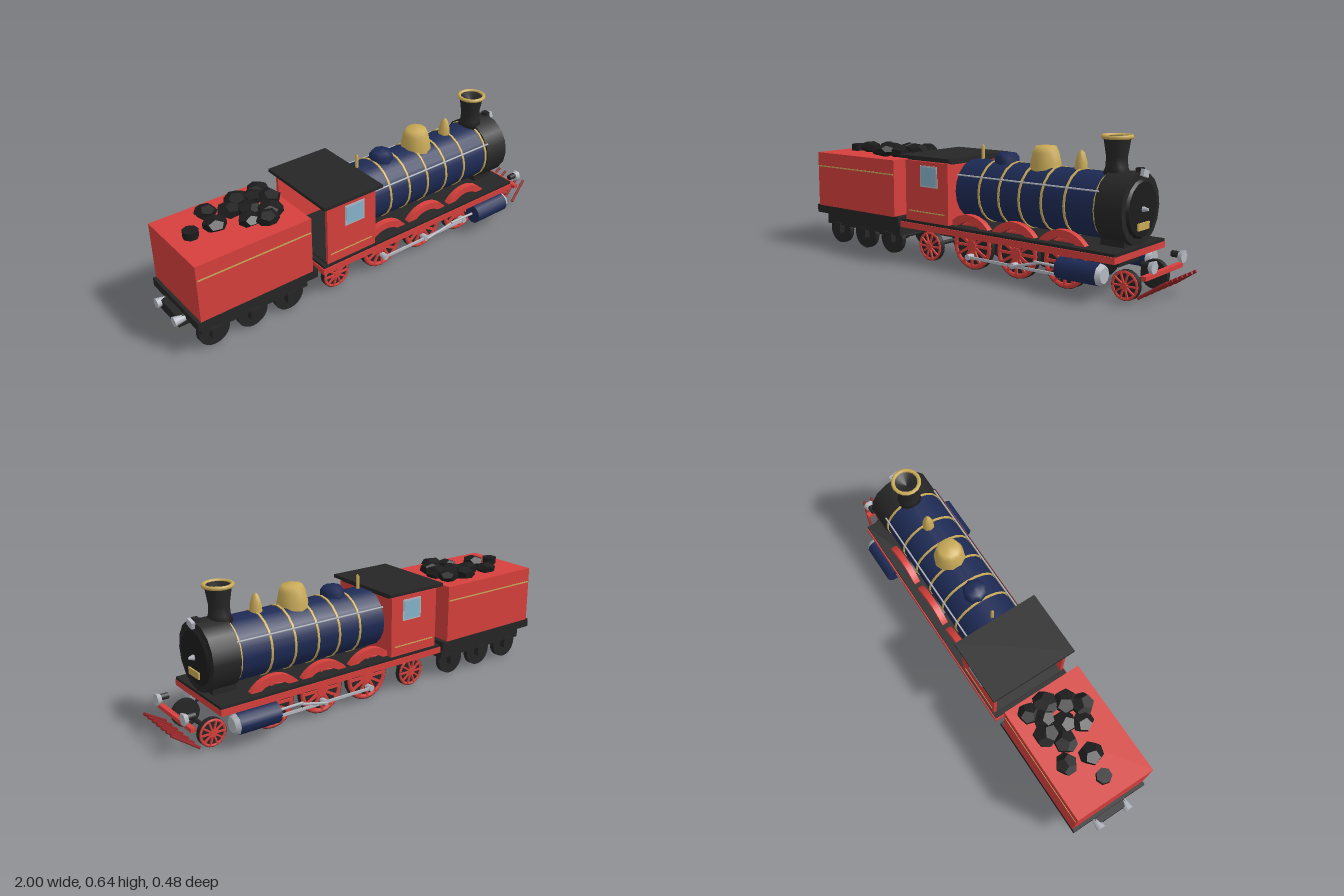
import * as THREE from 'three';

const mat = (name, color) => {
  const m = new THREE.MeshStandardMaterial({ color });
  m.name = name;
  return m;
};

export function createModel() {
  const red = mat('red paint', 0xd6403c), darkRed = mat('dark red', 0x962426);
  const navy = mat('navy paint', 0x1d2a55), black = mat('black iron', 0x262626);
  const soot = mat('coal black', 0x1c1c1c), gold = mat('brass', 0xc9aa58);
  const silver = mat('steel', 0xb4b8c0), glass = mat('window glass', 0x86b4cc);
  const root = new THREE.Group();
  root.name = 'steamLocomotive';

  const add = (name, geo, m, x = 0, y = 0, z = 0, parent = root) => {
    const mesh = new THREE.Mesh(geo, m);
    mesh.name = name;
    mesh.position.set(x, y, z);
    parent.add(mesh);
    return mesh;
  };
  // box given by its limits on each axis
  const box = (name, m, x0, x1, y0, y1, z0, z1) =>
    add(name, new THREE.BoxGeometry(x1 - x0, y1 - y0, z1 - z0), m, (x0 + x1) / 2, (y0 + y1) / 2, (z0 + z1) / 2);
  // cylinder lying along x, with a radius at each end
  const tubeX = (name, m, x0, x1, y, z, r0, r1 = r0, sides = 16) =>
    add(name, new THREE.CylinderGeometry(r1, r0, x1 - x0, sides).rotateZ(-Math.PI / 2), m, (x0 + x1) / 2, y, z);
  // upright turned part
  const lathe = (name, m, x, pts, sides = 14) => {
    const geo = new THREE.LatheGeometry(pts.map(p => new THREE.Vector2(...p)), sides);
    return add(name, geo, m, x);
  };
  // straight round bar between two points
  const bar = (name, m, a, b, r, sides = 6) => {
    const p = new THREE.Vector3(...a), q = new THREE.Vector3(...b);
    const mesh = add(name, new THREE.CylinderGeometry(r, r, p.distanceTo(q), sides), m);
    mesh.position.copy(p).lerp(q, 0.5);
    mesh.quaternion.setFromUnitVectors(new THREE.Vector3(0, 1, 0), q.sub(p).normalize());
  };
  const discZ = (r, depth, sides) => new THREE.CylinderGeometry(r, r, depth, sides).rotateX(Math.PI / 2);

  // black disc wheel, optionally with a red spoked face
  const wheel = (name, x, r, side, spokes) => {
    const g = new THREE.Group();
    g.name = name;
    g.position.set(x, r + 0.003, side * 0.115);
    if (side < 0) g.rotation.y = Math.PI;
    root.add(g);
    add('tyre', discZ(r, 0.024, 20), black, 0, 0, 0, g);
    add('axleEnd', discZ(r * 0.1, 0.034, 8), gold, 0, 0, 0, g);
    if (!spokes) {
      add('hub', discZ(r * 0.35, 0.034, 10), black, 0, 0, 0.002, g);
      return;
    }
    add('rim', new THREE.TorusGeometry(r * 0.88, r * 0.1, 6, 24).scale(1, 1, 0.8), red, 0, 0, 0.012, g);
    add('hub', discZ(r * 0.24, 0.014, 10), red, 0, 0, 0.016, g);
    for (let i = 0; i < spokes; i++) {
      const s = add('spoke', new THREE.BoxGeometry(r * 0.9, r * 0.11, 0.012).translate(r * 0.45, 0, 0), red, 0, 0, 0.014, g);
      s.rotation.z = i * Math.PI * 2 / spokes;
    }
  };

  // frames and running boards
  box('mainFrame', black, -0.34, 0.76, 0.12, 0.185, -0.08, 0.08);
  box('runningBoard', black, -0.34, 0.81, 0.188, 0.2, -0.195, 0.195);
  box('footplateEdge', red, -0.345, 0.81, 0.16, 0.188, -0.2, 0.2);
  box('drawbar', black, -0.98, -0.33, 0.125, 0.175, -0.08, 0.08);

  // boiler, bands and smokebox
  tubeX('boiler', navy, -0.06, 0.69, 0.35, 0, 0.138, 0.138, 20);
  for (const x of [0.08, 0.19, 0.3, 0.415, 0.53, 0.675]) tubeX('boilerBand', gold, x - 0.005, x + 0.005, 0.35, 0, 0.142, 0.142, 20);
  tubeX('smokebox', black, 0.68, 0.805, 0.35, 0, 0.15, 0.15, 16);
  tubeX('smokeboxDoor', soot, 0.805, 0.815, 0.35, 0, 0.121, 0.112, 16);
  tubeX('doorKnob', silver, 0.815, 0.838, 0.35, 0, 0.013, 0.006, 6);
  box('frontPlate', gold, 0.814, 0.822, 0.267, 0.297, -0.044, 0.044);
  box('smokeboxSaddle', black, 0.67, 0.78, 0.19, 0.24, -0.08, 0.08);
  box('lampBracket', black, 0.785, 0.81, 0.48, 0.515, -0.015, 0.015);
  const lamp = add('headLamp', new THREE.BoxGeometry(0.016, 0.028, 0.042), silver, 0.818, 0.494, 0);
  lamp.rotation.x = -0.3;

  // chimney, domes, valve and whistle
  lathe('chimney', black, 0.69, [[0, 0.47], [0.06, 0.47], [0.046, 0.51], [0.044, 0.55], [0.056, 0.625], [0.05, 0.632], [0, 0.6]]);
  const rim = add('chimneyRim', new THREE.TorusGeometry(0.059, 0.009, 8, 16), gold, 0.69, 0.631, 0);
  rim.rotation.x = Math.PI / 2;
  lathe('steamDome', gold, 0.34, [[0.073, 0.465], [0.069, 0.5], [0.059, 0.545], [0.045, 0.57], [0, 0.573]], 10);
  lathe('sandDome', navy, 0.13, [[0.055, 0.46], [0.055, 0.505], [0.04, 0.525], [0, 0.53]], 8);
  lathe('safetyValve', gold, 0.52, [[0.028, 0.475], [0.026, 0.515], [0.014, 0.555], [0, 0.567]], 8);
  lathe('whistle', gold, -0.01, [[0.008, 0.48], [0.008, 0.545], [0, 0.555]], 8);

  // cab with an open back
  box('cabFront', red, -0.07, -0.055, 0.2, 0.475, -0.19, 0.19);
  box('cabRoof', black, -0.34, -0.03, 0.487, 0.502, -0.208, 0.208);
  box('cabRoofLining', black, -0.32, -0.05, 0.473, 0.488, -0.17, 0.17);
  box('cabFloor', black, -0.32, -0.06, 0.198, 0.206, -0.18, 0.18);

  // tender
  box('tenderFrame', black, -0.95, -0.37, 0.16, 0.2, -0.19, 0.19);
  box('tenderUnderframe', black, -0.92, -0.4, 0.1, 0.16, -0.15, 0.15);
  box('tenderBody', red, -0.935, -0.395, 0.198, 0.467, -0.19, 0.19);
  const coal = [[-0.72, -0.1], [-0.74, 0.01], [-0.57, -0.1], [-0.46, -0.11], [-0.57, -0.01], [-0.46, -0.03],
    [-0.61, 0.06], [-0.55, 0.1], [-0.5, 0.05], [-0.51, -0.07], [-0.64, -0.05]];
  coal.forEach(([x, z], i) => {
    const geo = new THREE.DodecahedronGeometry(0.05 + (i % 3) * 0.004, 0).scale(1, 0.55, 1);
    add('coalLump', geo, soot, x, 0.486 + (i % 2) * 0.006, z).rotation.y = i * 1.3;
  });
  const cap = add('waterFiller', new THREE.CylinderGeometry(0.034, 0.034, 0.034, 7), soot, -0.845, 0.483, 0);
  cap.rotation.y = 0.4;

  // splasher arch profile
  const arch = new THREE.Shape();
  const a0 = Math.asin(0.085 / 0.145), a1 = Math.asin(0.085 / 0.112);
  arch.absarc(0, 0, 0.145, a0, Math.PI - a0, false);
  arch.absarc(0, 0, 0.112, Math.PI - a1, a1, true);
  const archGeo = new THREE.ExtrudeGeometry(arch, { depth: 0.03, bevelEnabled: false, curveSegments: 10 });

  for (const s of [1, -1]) {
    // slab on one side, from inner to outer z
    const side = (name, m, x0, x1, y0, y1, zi, zo) => box(name, m, x0, x1, y0, y1, Math.min(s * zi, s * zo), Math.max(s * zi, s * zo));
    side('cabSide', red, -0.315, -0.06, 0.2, 0.477, 0.175, 0.19);
    side('windowFrame', silver, -0.222, -0.118, 0.361, 0.459, 0.187, 0.193);
    side('cabWindow', glass, -0.215, -0.125, 0.368, 0.452, 0.189, 0.195);
    side('cabLining', gold, -0.3, -0.075, 0.242, 0.247, 0.189, 0.192);
    side('tenderLining', gold, -0.93, -0.4, 0.396, 0.402, 0.189, 0.192);
    for (const x of [0.035, 0.285, 0.535]) {
      wheel('driveWheel', x, 0.11, s, 12);
      add('splasher', archGeo, red, x, 0.11, s > 0 ? 0.13 : -0.16);
      add('crankPin', discZ(0.014, 0.035, 8), silver, x, 0.065, s * 0.148);
    }
    wheel('trailingWheel', -0.225, 0.07, s, 10);
    wheel('leadingWheel', 0.815, 0.062, s, 10);
    for (const x of [-0.85, -0.665, -0.48]) {
      wheel('tenderWheel', x, 0.073, s, 0);
      side('axleBox', black, x - 0.025, x + 0.025, 0.06, 0.11, 0.125, 0.155);
    }

    // cylinders and rods
    tubeX('steamCylinder', navy, 0.555, 0.745, 0.11, s * 0.195, 0.046, 0.046, 12);
    tubeX('cylinderCover', silver, 0.745, 0.765, 0.11, s * 0.195, 0.046, 0.034, 8);
    side('couplingRod', silver, 0.02, 0.55, 0.059, 0.071, 0.154, 0.162);
    bar('connectingRod', silver, [0.285, 0.065, s * 0.168], [0.45, 0.11, s * 0.185], 0.006);
    bar('pistonRod', silver, [0.42, 0.11, s * 0.187], [0.56, 0.11, s * 0.19], 0.006);
    bar('handrail', silver, [-0.05, 0.425, s * 0.132], [0.69, 0.425, s * 0.132], 0.004);

    // buffers
    tubeX('frontBufferStem', black, 0.885, 0.92, 0.16, s * 0.12, 0.014, 0.014, 8);
    tubeX('frontBuffer', silver, 0.92, 0.94, 0.155, s * 0.12, 0.022, 0.028, 6);
    tubeX('rearBuffer', silver, -1, -0.945, 0.16, s * 0.075, 0.022, 0.014, 8);
  }
  for (const x of [0.035, 0.285, 0.535, -0.225, 0.815, -0.85, -0.665, -0.48]) {
    const y = x > 0 && x < 0.6 ? 0.113 : x > 0.6 ? 0.065 : 0.074;
    add('axle', discZ(0.01, 0.22, 8), black, x, y, 0);
  }

  // cowcatcher
  box('cowcatcherBeam', red, 0.898, 0.92, 0.103, 0.121, -0.15, 0.15);
  for (let i = -3; i <= 3; i++) {
    bar('cowcatcherBar', darkRed, [0.888, 0.032, i * 0.051], [0.994, 0.105, i * 0.041], 0.007);
  }
  return root;
}
